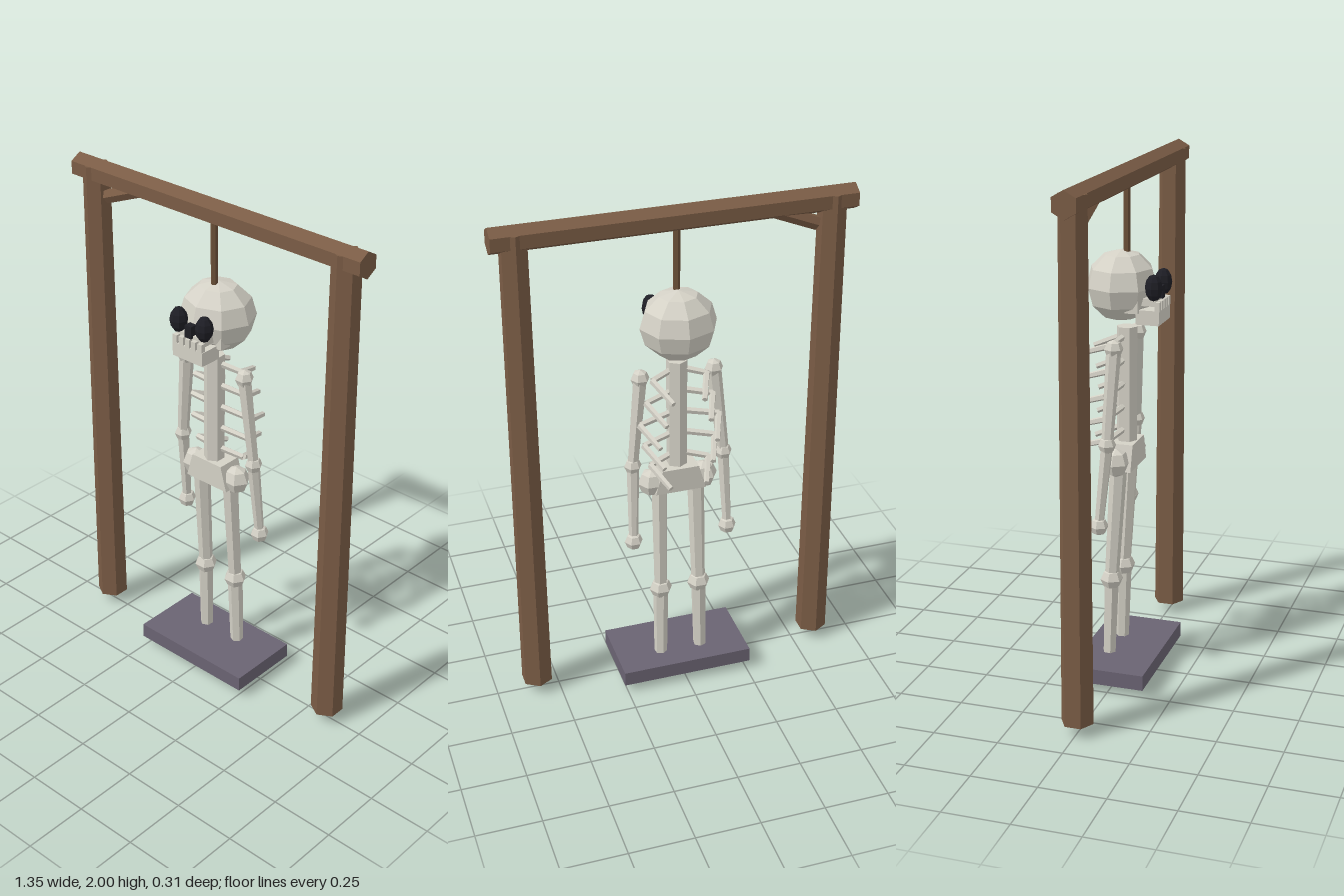
import * as THREE from 'three';

const mat = (color) => new THREE.MeshStandardMaterial({ color, flatShading: true });
const V = (x, y, z) => new THREE.Vector3(x, y, z);

export function createModel() {
  const model = new THREE.Group();
  const wood = mat(0x7a5c45), rope = mat(0x6b5038), bone = mat(0xd4d1c6);
  const dark = mat(0x1e1e25), stone = mat(0x6a6372);

  const add = (name, geo, material, parent = model) => {
    const mesh = new THREE.Mesh(geo, material);
    mesh.name = name;
    parent.add(mesh);
    return mesh;
  };
  const box = (name, w, h, d, x, y, z, material, parent) => {
    const mesh = add(name, new THREE.BoxGeometry(w, h, d), material, parent);
    mesh.position.set(x, y, z);
    return mesh;
  };
  // Faceted ball, optionally squashed
  const ball = (name, c, rx, ry, rz, material, parent, seg = 6, rings = 4) => {
    const mesh = add(name, new THREE.SphereGeometry(1, seg, rings).scale(rx, ry, rz), material, parent);
    mesh.position.copy(c);
    return mesh;
  };
  // Tapered six-sided rod from a to b
  const rod = (name, a, b, ra, rb, material, parent, sides = 6) => {
    const dir = b.clone().sub(a);
    const mesh = add(name, new THREE.CylinderGeometry(rb, ra, dir.length(), sides), material, parent);
    mesh.position.copy(a).add(b).multiplyScalar(0.5);
    mesh.quaternion.setFromUnitVectors(V(0, 1, 0), dir.normalize());
    return mesh;
  };
  const group = (name) => {
    const g = new THREE.Group();
    g.name = name;
    model.add(g);
    return g;
  };

  // Wooden frame
  const frame = group('frame');
  for (const s of [-1, 1]) {
    rod('post', V(s * 0.588, 0.045, 0), V(s * 0.588, 1.975, 0), 0.062, 0.053, wood, frame);
  }
  const beam = add('beam', new THREE.CylinderGeometry(0.05, 0.05, 1.35, 6)
    .rotateY(Math.PI / 2).rotateZ(-Math.PI / 2), wood, frame);
  beam.position.y = 1.95;
  rod('brace', V(-0.53, 1.862, 0), V(-0.29, 1.96, 0), 0.028, 0.028, wood, frame);
  rod('rope', V(0, 1.66, 0), V(0, 1.92, 0), 0.013, 0.013, rope, frame);

  // Platform
  box('platform', 0.525, 0.06, 0.295, 0, 0.065, -0.002, stone);

  // Skull
  const skull = group('skull');
  ball('cranium', V(0, 1.545, -0.02), 0.147, 0.135, 0.136, bone, skull, 8, 6);
  box('jaw', 0.145, 0.055, 0.09, 0, 1.443, 0.1, bone, skull);
  for (let i = -2; i <= 2; i++) {
    box('tooth', 0.02, 0.035, 0.02, i * 0.03, 1.485, 0.137, bone, skull);
  }
  box('upperJaw', 0.13, 0.03, 0.08, 0, 1.5, 0.09, bone, skull);
  box('nose', 0.03, 0.048, 0.03, 0, 1.53, 0.127, dark, skull);
  for (const s of [-1, 1]) {
    ball('eyeSocket', V(s * 0.062, 1.555, 0.122), 0.034, 0.05, 0.034, dark, skull, 8, 6);
    box('cheek', 0.03, 0.05, 0.05, s * 0.08, 1.485, 0.045, bone, skull);
  }

  // Spine and ribs, each rib a side piece and a piece sloping back
  const torso = group('torso');
  rod('spine', V(0, 0.87, 0), V(0, 1.39, 0), 0.04, 0.04, bone, torso);
  [0.105, 0.13, 0.155, 0.14, 0.115].forEach((w, i) => {
    const y = 1.345 - i * 0.09;
    for (const s of [-1, 1]) {
      const bend = V(s * w, y - 0.01, -0.035);
      rod('rib', V(s * 0.02, y + 0.01, -0.005), bend, 0.013, 0.012, bone, torso, 5);
      rod('ribEnd', bend, V(s * (w - 0.045), y - 0.055, -0.152), 0.013, 0.011, bone, torso, 5);
    }
  });

  // Pelvis: block narrowing to the top, with a hip on each side
  const block = new THREE.BoxGeometry(0.2, 0.1, 0.1);
  const p = block.attributes.position;
  for (let i = 0; i < p.count; i++) {
    if (p.getY(i) > 0) p.setX(i, p.getX(i) * 0.72);
  }
  add('pelvis', block, bone, torso).position.set(0, 0.897, -0.005);
  for (const s of [-1, 1]) {
    ball('hip', V(s * 0.103, 0.883, -0.01), 0.056, 0.056, 0.052, bone, torso);
  }

  // Arms and legs: two rods with balls at the joints
  for (const s of [-1, 1]) {
    const arm = group(s > 0 ? 'leftArm' : 'rightArm');
    const shoulder = V(s * 0.143, 1.335, -0.005);
    const elbow = V(s * 0.18, 0.975, -0.02);
    const hand = V(s * 0.19, 0.655, -0.05);
    ball('shoulder', shoulder, 0.036, 0.036, 0.036, bone, arm);
    ball('elbow', elbow, 0.034, 0.034, 0.034, bone, arm);
    ball('hand', hand, 0.036, 0.036, 0.036, bone, arm);
    rod('upperArm', shoulder, elbow, 0.028, 0.022, bone, arm);
    rod('forearm', elbow, hand, 0.024, 0.018, bone, arm);

    const leg = group(s > 0 ? 'leftLeg' : 'rightLeg');
    const hip = V(s * 0.073, 0.86, -0.01);
    const knee = V(s * 0.078, 0.4, -0.037);
    const foot = V(s * 0.083, 0.036, -0.047);
    ball('knee', knee, 0.046, 0.042, 0.044, bone, leg);
    ball('foot', foot, 0.036, 0.036, 0.036, bone, leg);
    rod('thigh', hip, knee, 0.033, 0.027, bone, leg);
    rod('shin', knee, foot, 0.03, 0.025, bone, leg);
  }

  return model;
}
